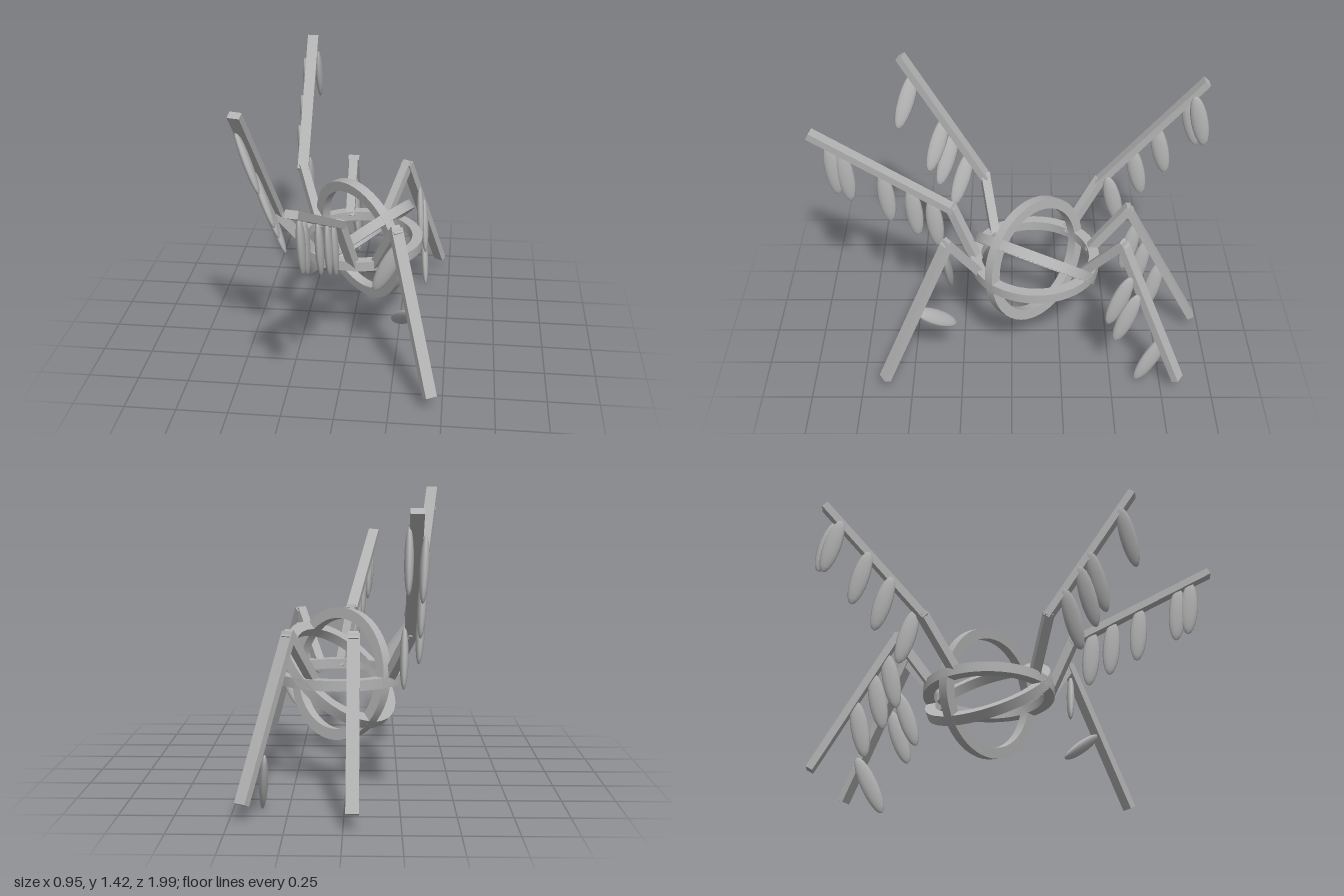
import * as THREE from 'three';

const V = (a) => new THREE.Vector3(...a);

export function createModel() {
  const model = new THREE.Group();
  const grey = new THREE.MeshStandardMaterial({ color: 0xb2b2b2 });
  grey.name = 'plainGrey';

  const add = (parent, geometry, name) => {
    const mesh = new THREE.Mesh(geometry, grey);
    mesh.name = name;
    parent.add(mesh);
    return mesh;
  };

  // Turns a mesh so its local y runs from a to b and its local x follows the side direction
  const span = (mesh, a, b, side) => {
    const y = b.clone().sub(a).normalize();
    const z = side.clone().cross(y).normalize();
    const x = y.clone().cross(z);
    mesh.quaternion.setFromRotationMatrix(new THREE.Matrix4().makeBasis(x, y, z));
    mesh.position.copy(a).add(b).multiplyScalar(0.5);
  };

  // Three interlocked hoops with a rectangular section
  const R = 0.325, r = 0.272, h = 0.025;
  const corners = [[r, -h], [R, -h], [R, h], [r, h], [r, -h]].map((p) => new THREE.Vector2(...p));
  const cage = new THREE.Group();
  cage.name = 'ringCage';
  cage.position.set(0.037, 0.532, -0.117);
  model.add(cage);
  const rings = { levelRing: [0, 1, 0], uprightRing: [0.7, 0.14, -0.7], slantedRing: [-0.8, 1, -0.47] };
  for (const [name, axis] of Object.entries(rings)) {
    const ring = new THREE.Group();
    ring.name = name;
    ring.quaternion.setFromUnitVectors(new THREE.Vector3(0, 1, 0), V(axis).normalize());
    for (let i = 0; i < 4; i++) {
      add(ring, new THREE.LatheGeometry(corners.slice(i, i + 2), 48), 'ringFace');
    }
    cage.add(ring);
  }

  // Each leg: root, knee and tip, the thin direction of its leaves, then sprays of leaves on the outer bar:
  // "at" = fractions along the bar, "drop" = from leaf top to leaf end, "side" = shift across the bar
  const legs = [
    { name: 'backLeg', path: [[-0.04, 0.54, -0.4], [-0.04, 0.785, -0.58], [-0.04, 0.095, -0.95]], thin: [1, 0, 0],
      sprays: [{ at: [0.13, 0.29, 0.5], drop: [0.02, -0.28, 0.06], side: 0 }] },
    { name: 'backLeftLeg', path: [[0.15, 0.54, -0.36], [0.255, 0.785, -0.53], [0.44, 0.095, -0.825]], thin: [1, 0, 0],
      sprays: [{ at: [0.21, 0.34], drop: [0.02, -0.28, 0.1], side: -0.035 },
        { at: [0.72], drop: [0.025, -0.28, 0.14], side: 0.05 }] },
    { name: 'backRightArm', path: [[-0.2, 0.54, -0.29], [-0.3, 0.775, -0.45], [-0.305, 1.35, -0.945]], thin: [1, 0, 0],
      sprays: [{ at: [0.32, 0.55, 0.84], drop: [0.015, -0.28, -0.07], side: 0.04 },
        { at: [0.08, 0.9], drop: [0.005, -0.28, -0.07], side: -0.03 }] },
    { name: 'frontRightArm', path: [[-0.17, 0.55, 0.09], [-0.345, 0.775, 0.14], [-0.445, 1.41, 0.548]], thin: [1, 0, 0],
      sprays: [{ at: [0.2, 0.38, 0.5, 0.87], drop: [0.115, -0.265, 0.09], side: -0.03 }] },
    { name: 'frontArm', path: [[0.035, 0.53, 0.18], [-0.02, 0.8, 0.3], [-0.133, 1.157, 0.98]], thin: [1, 0, 0],
      sprays: [{ at: [0.15, 0.3, 0.5, 0.79, 0.88], drop: [0.01, -0.29, -0.03], side: 0 }] },
    { name: 'frontLeftLeg', path: [[0.15, 0.54, 0.17], [0.25, 0.785, 0.31], [0.44, 0.095, 0.63]], thin: [0, 0, 1],
      sprays: [{ at: [0.07], drop: [-0.13, -0.28, -0.02], side: 0.02 },
        { at: [0.5], drop: [-0.1, -0.16, -0.19], side: 0 }] },
  ];

  const leafShape = new THREE.SphereGeometry(1, 12, 10);
  for (const { name, path, thin, sprays } of legs) {
    const leg = new THREE.Group();
    leg.name = name;
    model.add(leg);
    const [root, knee, tip] = path.map(V);
    const sideOf = (a, b) => new THREE.Vector3(b.z - a.z, 0, a.x - b.x).normalize();
    const across = sideOf(knee, tip);

    // Short inner bar and long outer bar
    const inner = add(leg, new THREE.BoxGeometry(0.046, root.distanceTo(knee) + 0.03, 0.044), 'innerBar');
    span(inner, root, knee, sideOf(root, knee));
    const outer = add(leg, new THREE.BoxGeometry(0.058, knee.distanceTo(tip) + 0.025, 0.036), 'outerBar');
    span(outer, knee, tip, across);

    // Flat oval leaves
    for (const { at, drop, side } of sprays) {
      for (const t of at) {
        const top = knee.clone().lerp(tip, t).addScaledVector(across, side);
        const end = top.clone().add(V(drop));
        const leaf = add(leg, leafShape, 'leaf');
        span(leaf, top, end, V(thin));
        leaf.scale.set(0.02, top.distanceTo(end) / 2, 0.043);
      }
    }
  }
  return model;
}
